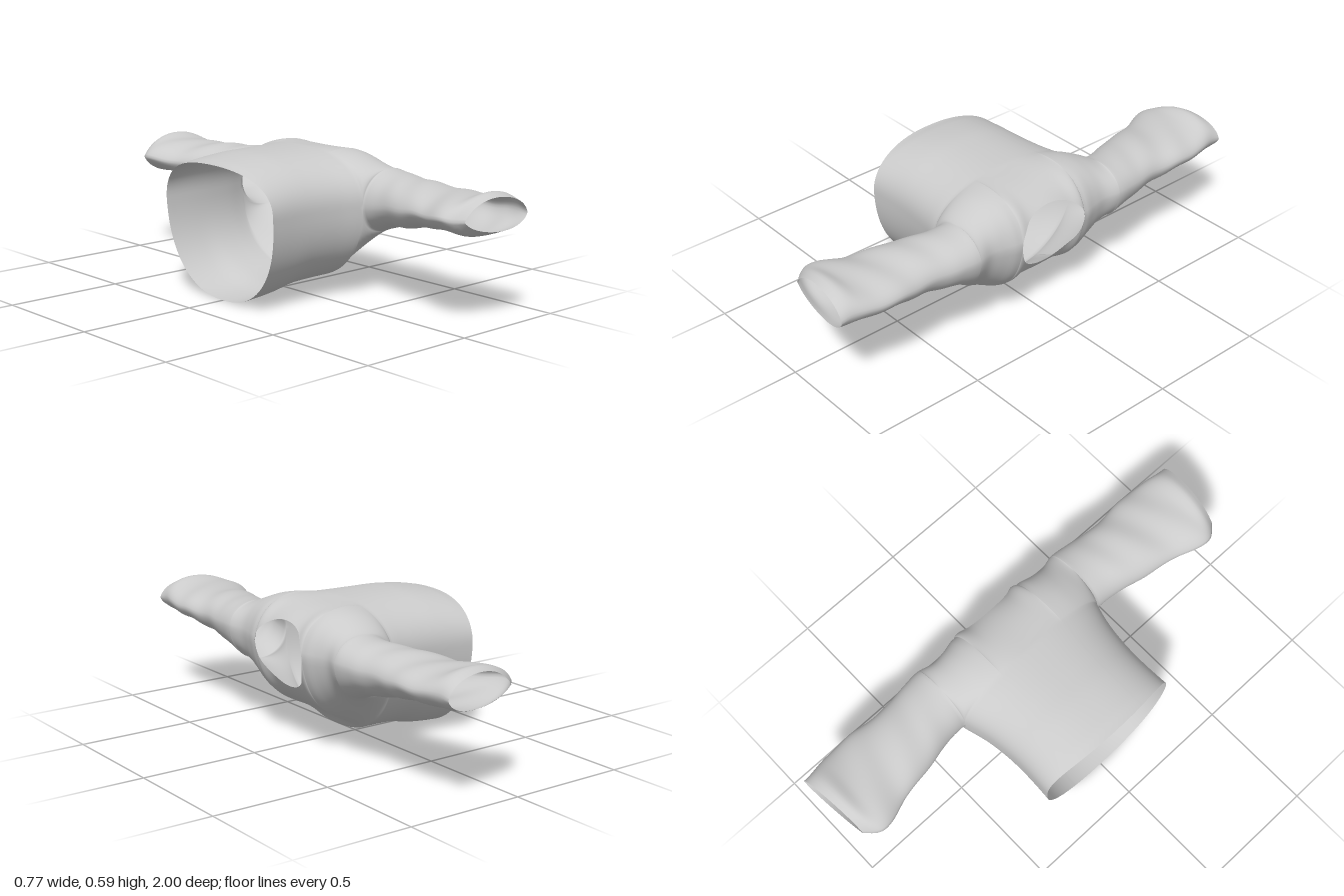
import * as THREE from 'three';
import { mergeVertices } from 'three/addons/utils/BufferGeometryUtils.js';

const NECK = 0.165, ARMPIT = 0.37, MID = 0.38, BACK_X = 0.09;

// smooth lookup in a small table whose first column is the key
function table(rows) {
  const f = new THREE.CubicInterpolant(rows.map(r => r[0]), new Float32Array(rows.flatMap(r => r.slice(1))), rows[0].length - 1);
  f.settings = { endingStart: THREE.ZeroSlopeEnding, endingEnd: THREE.ZeroCurvatureEnding };
  return t => Array.from(f.evaluate(t));
}

// torso along x: upper y, lower y, half width
const torso = table([
  [-0.39, 0.56, 0.0, 0.335], [-0.33, 0.572, 0.0, 0.33], [-0.2, 0.588, 0.012, 0.325],
  [-0.1, 0.59, 0.034, 0.33], [0, 0.59, 0.042, 0.345], [0.09, 0.59, 0.047, 0.37],
]);

// shoulders and sleeves along |z|: rear x, front x, rear y, front y, upper y, lower y, rear and front flatness
const arm = table([
  [0, 0.09, 0.34, 0.38, 0.41, 0.576, 0.145, 0.33, 0.3],
  [0.1, 0.09, 0.352, 0.38, 0.41, 0.575, 0.152, 0.33, 0.25],
  [0.165, 0.09, 0.382, 0.38, 0.41, 0.57, 0.165, 0.32, 0.12],
  [0.24, 0.09, 0.366, 0.38, 0.41, 0.56, 0.198, 0.28, 0.07],
  [0.3, 0.09, 0.358, 0.38, 0.415, 0.543, 0.232, 0.2, 0.05],
  [0.37, 0.09, 0.374, 0.38, 0.42, 0.52, 0.268, 0.05, 0.05],
  [0.45, 0.083, 0.368, 0.39, 0.42, 0.51, 0.295, 0.05, 0.05],
  [0.6, 0.045, 0.35, 0.41, 0.42, 0.504, 0.322, 0.06, 0.05],
  [0.75, 0.015, 0.362, 0.42, 0.425, 0.494, 0.347, 0.08, 0.05],
  [0.89, -0.03, 0.352, 0.43, 0.43, 0.503, 0.352, 0.12, 0.04],
  [0.96, -0.01, 0.34, 0.43, 0.435, 0.515, 0.352, 0.16, 0.04],
  [1, 0.02, 0.34, 0.425, 0.43, 0.502, 0.37, 0.2, 0.08],
]);

// rounded-box fullness of the torso section, 1 in the middle and 0 at the side
const fullness = az => Math.pow(Math.max(0, 1 - Math.pow(az / ARMPIT, 2.3)), 1 / 2.3);

function torsoPoint(z, up, u) {
  const q = fullness(Math.abs(z));
  const hem = up ? -0.35 - 0.035 * q ** 3 : -0.35 + 0.022 * q;
  const x = THREE.MathUtils.lerp(hem, BACK_X, u);
  const [top, bottom, width] = torso(x);
  return [x, MID + ((up ? top : bottom) - MID) * q, z / ARMPIT * width];
}

function armPoint(z, up, s) {
  const az = Math.abs(z);
  let [rx, fx, ry, fy, top, bottom, a, b] = arm(az);
  if (az <= ARMPIT) [rx, ry] = torsoPoint(z, up, 1);
  // neck opening
  if (az < NECK) {
    const gap = Math.sqrt(1 - (az / NECK) ** 2);
    fy += gap * (up ? 0.11 : -0.165);
    if (!up) fx -= 0.015 * gap;
  }
  // cubic arc from the rear line to the front line
  const w = fx - rx, cy = (8 * (up ? top : bottom) - ry - fy) / 6, r = 1 - s;
  const mix = (p0, p1, p2, p3) => r ** 3 * p0 + 3 * r * r * s * p1 + 3 * r * s * s * p2 + s ** 3 * p3;
  const x = mix(rx, rx + a * w, fx - b * w, fx);
  // soft sleeve folds and a slanted cuff
  const fold = 0.003 * THREE.MathUtils.smoothstep(az, 0.4, 0.55);
  const y = mix(ry, cy, cy, fy) + fold * Math.sin(az * 38 + x * 14);
  const slant = 0.03 * THREE.MathUtils.smoothstep(az, 0.88, 1) * (fx - x) / w;
  return [x, y, z * (1 - slant)];
}

// stations across the garment, denser at the neck corners and the armpits
function stations() {
  const half = [];
  const ease = t => Math.sin(t * Math.PI / 2);
  for (let i = 1; i <= 14; i++) half.push(NECK * ease(i / 14));
  for (let i = 1; i <= 18; i++) half.push(NECK + (ARMPIT - NECK) * ease(i / 18));
  for (let i = 1; i <= 44; i++) half.push(ARMPIT + (1 - ARMPIT) * i / 44);
  return [...half.map(z => -z).reverse(), 0, ...half];
}

// one panel as a grid of points, facing up or down
function addPanel(pos, index, zs, rows, up, point) {
  const start = pos.length / 3;
  zs.forEach(z => {
    for (let j = 0; j <= rows; j++) pos.push(...point(z, up, j / rows));
  });
  for (let i = 0; i < zs.length - 1; i++) {
    for (let j = 0; j < rows; j++) {
      const a = start + i * (rows + 1) + j, b = a + rows + 1;
      if (up) index.push(a, b, a + 1, b, b + 1, a + 1);
      else index.push(a, a + 1, b, b, a + 1, b + 1);
    }
  }
}

export function createModel() {
  const group = new THREE.Group();
  group.name = 'shirt';
  const pos = [], index = [];
  const zs = stations();
  const torsoZs = zs.filter(z => Math.abs(z) <= ARMPIT + 1e-6);

  // torso tube, then shoulders and sleeves, welded into one cloth surface
  for (const up of [true, false]) {
    addPanel(pos, index, torsoZs, 32, up, torsoPoint);
    addPanel(pos, index, zs, 28, up, armPoint);
  }
  let geometry = new THREE.BufferGeometry();
  geometry.setAttribute('position', new THREE.Float32BufferAttribute(pos, 3));
  geometry.setIndex(index);
  geometry = mergeVertices(geometry, 1e-5);
  geometry.computeVertexNormals();

  const cloth = new THREE.Mesh(geometry, new THREE.MeshStandardMaterial({ color: 0xcccccc, side: THREE.DoubleSide }));
  cloth.name = 'torsoAndSleeves';
  group.add(cloth);
  return group;
}
